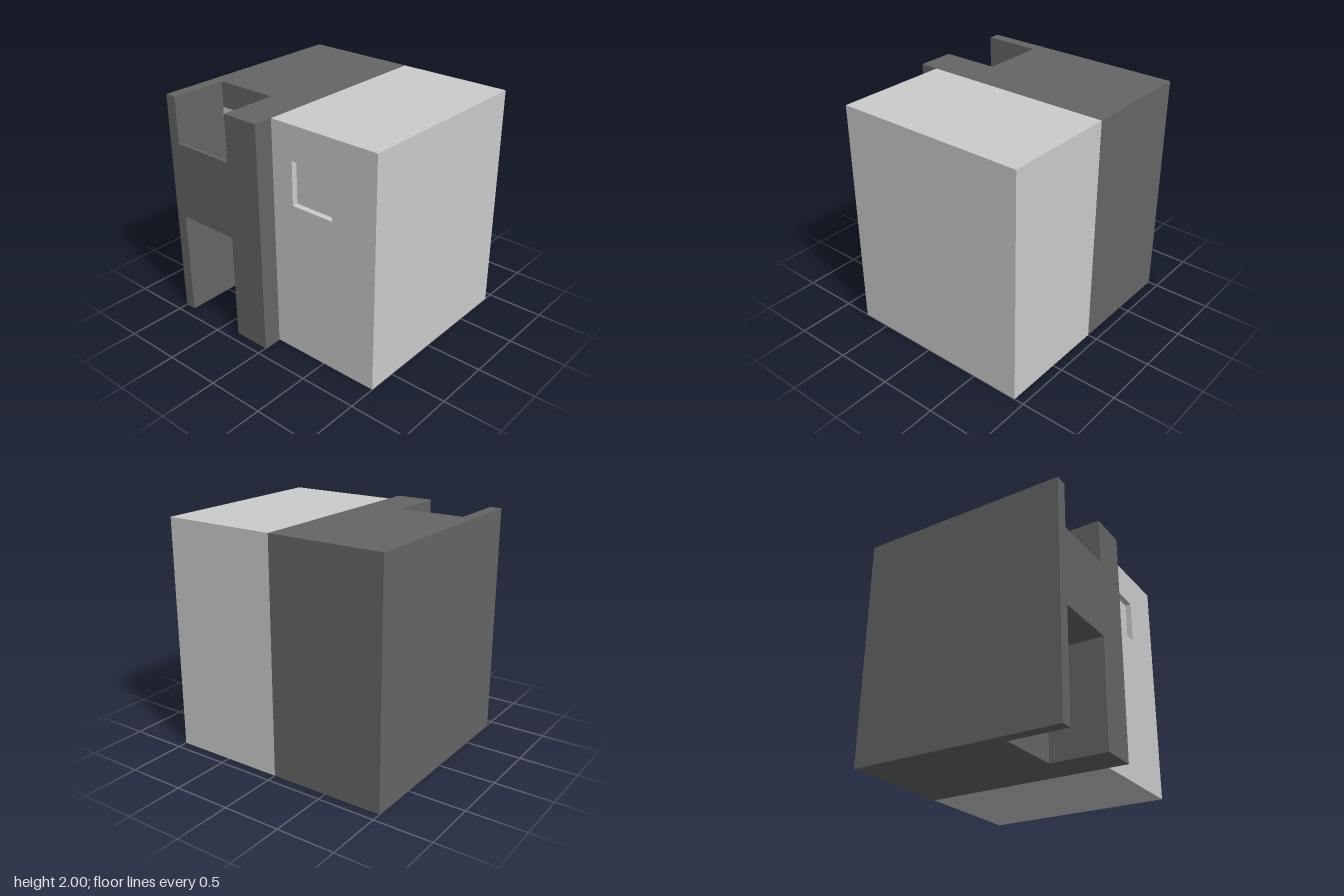
import * as THREE from 'three';

const light = new THREE.MeshStandardMaterial({ color: 0xcccccc });
const dark = new THREE.MeshStandardMaterial({ color: 0x656565 });

function polygon(points) {
  return new THREE.Shape(points.map(([x, y]) => new THREE.Vector2(x, y)));
}

function extrude(shape, depth) {
  return new THREE.ExtrudeGeometry(shape, { depth, bevelEnabled: false });
}

// Box given by its minimum and maximum corners
function box([x0, y0, z0], [x1, y1, z1]) {
  return new THREE.BoxGeometry(x1 - x0, y1 - y0, z1 - z0)
    .translate((x0 + x1) / 2, (y0 + y1) / 2, (z0 + z1) / 2);
}

export function createModel() {
  const group = new THREE.Group();
  const add = (name, geometry, material) => {
    const mesh = new THREE.Mesh(geometry, material);
    mesh.name = name;
    group.add(mesh);
  };

  // Front half: solid body with a side plate pierced by a shallow window
  add('frontBody', box([-0.7, 0, 0], [0.915, 2, 1]), light);
  const side = polygon([[0, 0], [1, 0], [1, 2], [0, 2]]);
  side.holes.push(polygon([[0.2, 1.34], [0.2, 1.71], [0.593, 1.71], [0.593, 1.34]]));
  add('windowPlate', extrude(side, 0.05).rotateY(-Math.PI / 2).translate(-0.7, 0, 0), light);

  // Rear half: plan outline with a channel cut into its side
  const plan = polygon([
    [-0.915, 0], [0.915, 0], [0.915, 1], [-0.915, 1],
    [-0.915, 0.9], [-0.415, 0.9], [-0.415, 0.33], [-0.915, 0.33],
  ]);
  add('rearBody', extrude(plan, 2).rotateX(-Math.PI / 2), dark);

  // Tray across the channel: thin outer wall and floor
  add('trayWall', box([-0.915, 0.935, -0.9], [-0.885, 1.6, -0.33]), dark);
  add('trayFloor', box([-0.885, 0.935, -0.9], [-0.415, 0.965, -0.33]), dark);

  // Light lining on the channel's inner wall
  add('channelLining', box([-0.418, 0.965, -0.9], [-0.41, 1.775, -0.33]), light);

  return group;
}
